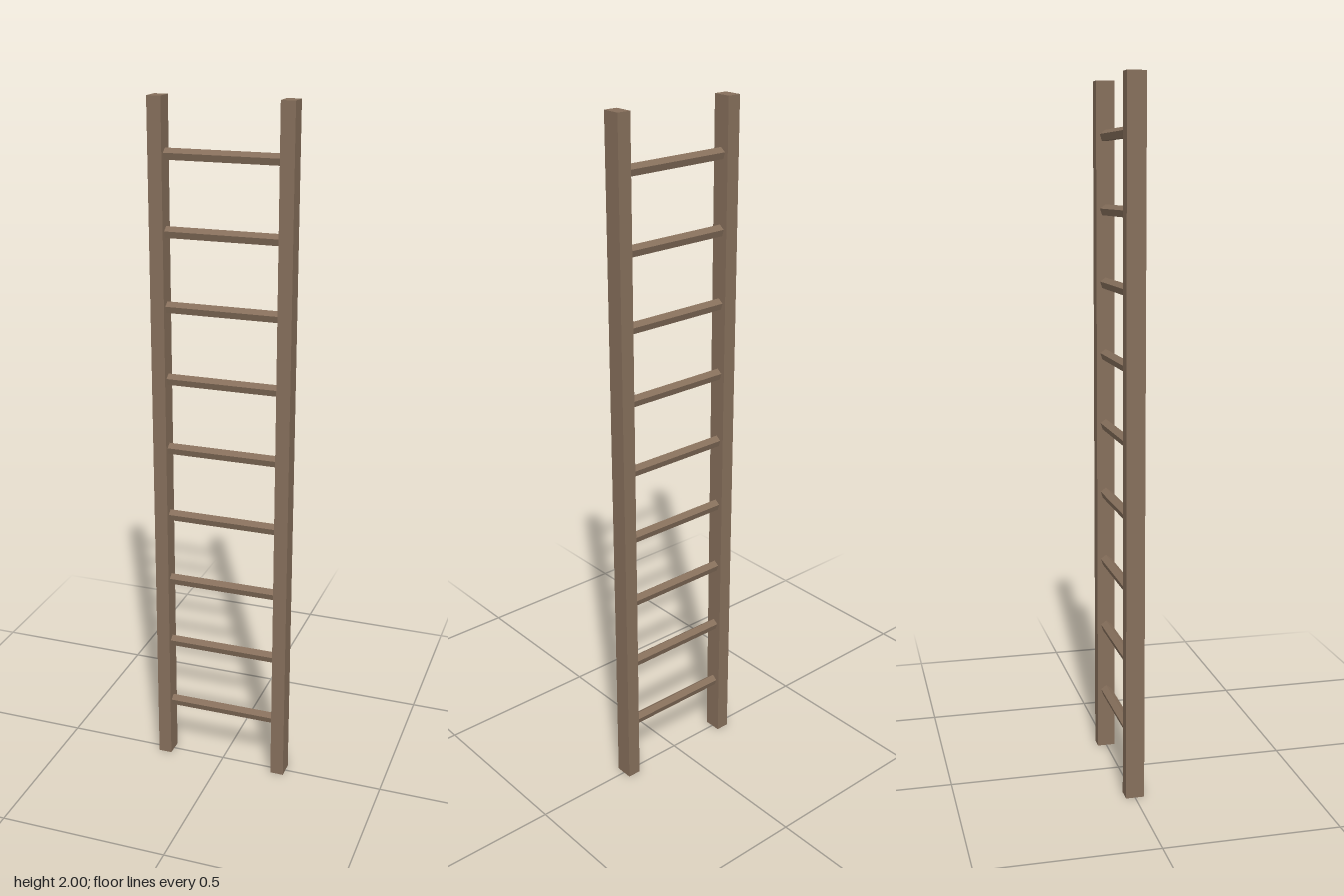
import * as THREE from 'three';

export function createModel() {
  const ladder = new THREE.Group();
  ladder.name = 'ladder';
  const wood = new THREE.MeshStandardMaterial({ color: 0x866f5b, flatShading: true });

  // Two square-cut side rails
  const railGeometry = new THREE.BoxGeometry(0.04, 2, 0.053);
  for (const side of [-1, 1]) {
    const rail = new THREE.Mesh(railGeometry, wood);
    rail.name = side > 0 ? 'leftRail' : 'rightRail';
    rail.position.set(side * 0.183, 1, 0);
    ladder.add(rail);
  }

  // Nine five-sided rungs, ridge up and flat side down, let into the rails
  const rungGeometry = new THREE.CylinderGeometry(0.0168, 0.0168, 0.35, 5);
  rungGeometry.rotateY(Math.PI / 2).rotateZ(Math.PI / 2);
  for (let i = 0; i < 9; i++) {
    const rung = new THREE.Mesh(rungGeometry, wood);
    rung.name = `rung${i + 1}`;
    rung.position.y = 0.18 + i * 0.2085;
    ladder.add(rung);
  }

  return ladder;
}
